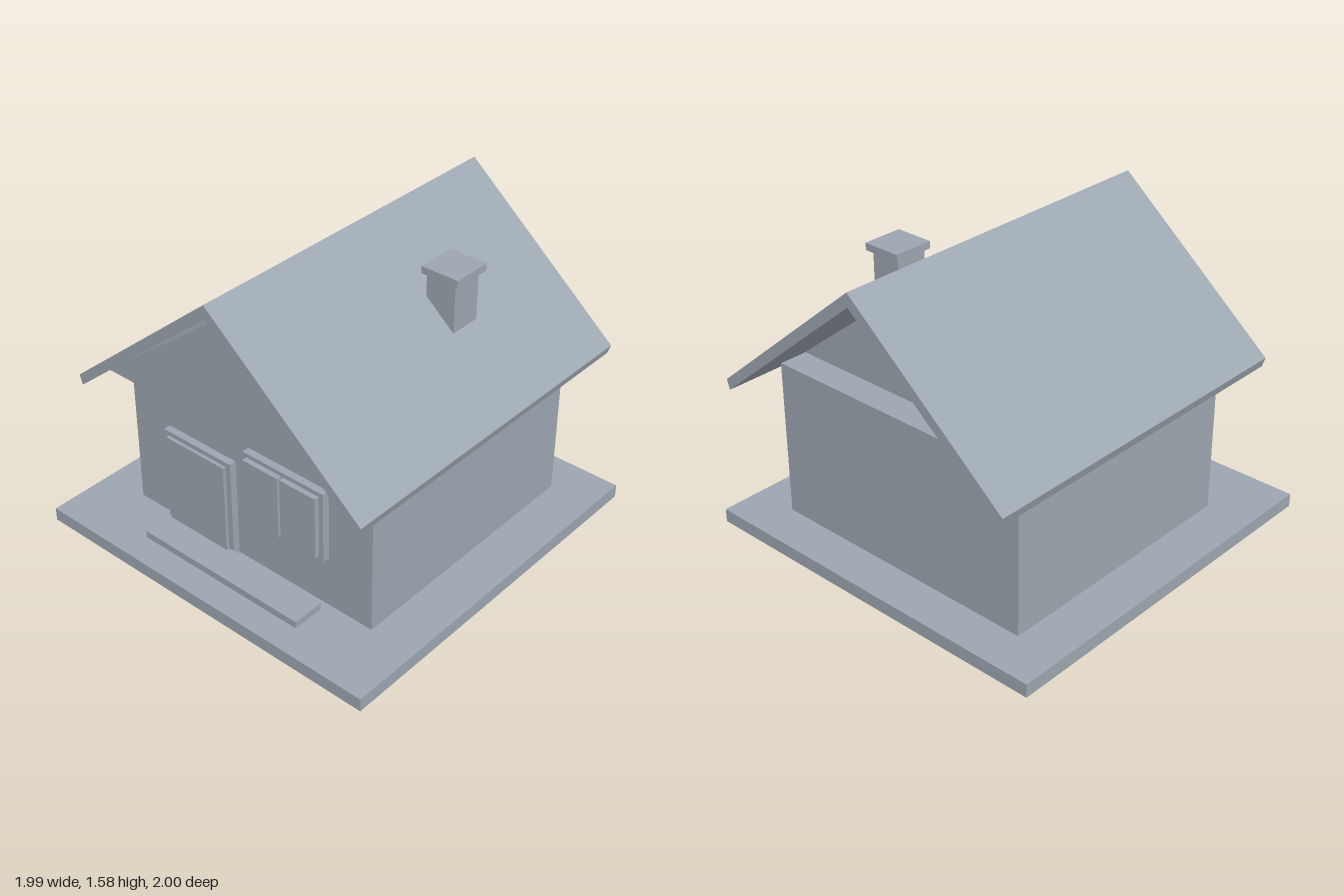
import * as THREE from 'three';

export function createModel() {
  const house = new THREE.Group();
  house.name = 'house';

  const grey = new THREE.MeshStandardMaterial({ color: 0x9ca6b0 });
  grey.name = 'plain grey';

  const add = (name, geometry) => {
    const mesh = new THREE.Mesh(geometry, grey);
    mesh.name = name;
    house.add(mesh);
    return mesh;
  };

  // Box from its lower and upper limits on each axis
  const box = (name, [x0, x1], [y0, y1], [z0, z1]) =>
    add(name, new THREE.BoxGeometry(x1 - x0, y1 - y0, z1 - z0))
      .position.set((x0 + x1) / 2, (y0 + y1) / 2, (z0 + z1) / 2);

  // Front profile extended along z
  const prism = (name, points, [z0, z1]) => {
    const shape = new THREE.Shape(points.map(([x, y]) => new THREE.Vector2(x, y)));
    const geometry = new THREE.ExtrudeGeometry(shape, { depth: z1 - z0, bevelEnabled: false });
    add(name, geometry).position.z = z0;
  };

  // Ground slab and walls
  box('groundSlab', [-0.995, 0.995], [0, 0.07], [-0.99, 1]);
  box('walls', [-0.75, 0.75], [0.07, 0.89], [-0.77, 0.637]);

  // Gable block, set slightly forward of the walls
  prism('gable', [[-0.75, 0.89], [0.75, 0.89], [0, 1.475]], [-0.62, 0.775]);

  // Roof slabs, mirrored about the ridge
  for (const [name, s] of [['leftRoof', 1], ['rightRoof', -1]]) {
    prism(name, [[0, 1.51], [0.853 * s, 0.803], [0.87 * s, 0.853], [0, 1.58]], [-1, 0.86]);
  }

  // Chimney
  box('chimney', [0.35, 0.513], [1.1, 1.41], [-0.37, -0.2]);
  box('chimneyCap', [0.333, 0.538], [1.408, 1.445], [-0.393, -0.18]);

  // Door
  box('doorFrame', [-0.503, -0.068], [0.077, 0.617], [0.645, 0.683]);
  box('door', [-0.473, -0.098], [0.077, 0.592], [0.683, 0.7]);
  box('doorstep', [-0.49, 0.487], [0.07, 0.108], [0.683, 0.855]);

  // Window with two panes
  box('windowFrame', [0.018, 0.503], [0.357, 0.737], [0.645, 0.683]);
  for (const [i, x] of [[0.04, 0.254], [0.267, 0.478]].entries()) {
    box(`windowPane${i + 1}`, x, [0.38, 0.715], [0.683, 0.71]);
  }

  return house;
}
